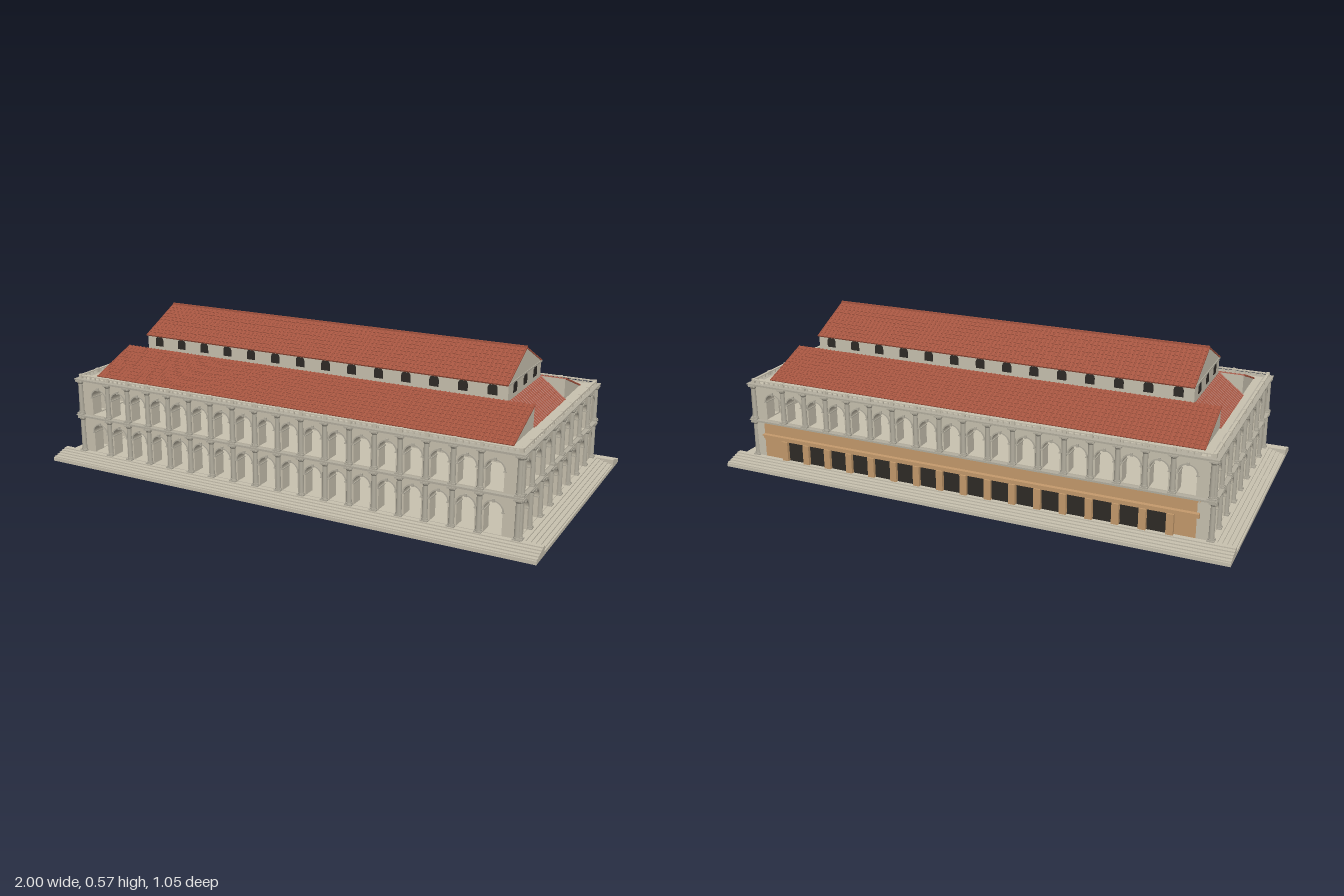
import * as THREE from 'three';
import { mergeGeometries } from 'three/addons/utils/BufferGeometryUtils.js';

const paint = (color) => new THREE.MeshStandardMaterial({ color, side: THREE.DoubleSide });
const stone = paint(0xc8c1af), trim = paint(0xb3ae9f), tile = paint(0xa65540);
const wood = paint(0xc49a6c), dark = paint(0x2e2a26);

const FLOOR = 0.035, MID = 0.182, TOP = 0.335;
const range = (n, step) => Array.from({ length: n }, (_, i) => (i - (n - 1) / 2) * step);

// Box given by its limits on each axis
function box(x0, x1, y0, y1, z0, z1) {
  return new THREE.BoxGeometry(x1 - x0, y1 - y0, z1 - z0)
    .translate((x0 + x1) / 2, (y0 + y1) / 2, (z0 + z1) / 2);
}

function part(name, geos, material) {
  const flat = geos.map((g) => (g.index ? g.toNonIndexed() : g));
  const mesh = new THREE.Mesh(mergeGeometries(flat), material);
  mesh.name = name;
  return mesh;
}

function archPath(x, y0, width, height, Type = THREE.Path) {
  const r = width / 2, p = new Type();
  p.moveTo(x - r, y0);
  p.lineTo(x + r, y0);
  p.lineTo(x + r, y0 + height - r);
  p.absarc(x, y0 + height - r, r, 0, Math.PI, false);
  p.lineTo(x - r, y0);
  return p;
}

function extrude(shape, depth) {
  return new THREE.ExtrudeGeometry(shape, { depth, bevelEnabled: false, curveSegments: 10 });
}

function polygon(points, depth) {
  return extrude(new THREE.Shape(points.map((p) => new THREE.Vector2(...p))), depth);
}

// Engaged column standing against the wall face
function column(x, y0, y1, z) {
  const shaft = new THREE.CylinderGeometry(0.009, 0.0105, y1 - y0, 10).translate(x, (y0 + y1) / 2, z);
  return [shaft,
    box(x - 0.014, x + 0.014, y0, y0 + 0.006, z - 0.014, z + 0.013),
    new THREE.CylinderGeometry(0.0125, 0.0125, 0.005, 10).translate(x, y0 + 0.0085, z),
    new THREE.CylinderGeometry(0.014, 0.009, 0.008, 10).translate(x, y1 - 0.01, z),
    box(x - 0.015, x + 0.015, y1 - 0.006, y1, z - 0.014, z + 0.013)];
}

// One side of the arcade, facing +z, with its outer face at z = face
function facade(half, face, bays, step, archWidth, shops) {
  const g = new THREE.Group();
  const centres = range(bays, step), piers = range(bays - 1, step);
  const base = shops ? MID - 0.007 : FLOOR;
  const wall = new THREE.Shape([[-half, base], [half, base], [half, TOP], [-half, TOP]]
    .map((p) => new THREE.Vector2(...p)));
  const details = [], columns = [], rails = [];
  const storeys = shops ? [[0.191, 0.105]] : [[FLOOR + 0.002, 0.115], [0.191, 0.105]];
  for (const [y0, h] of storeys) {
    const spring = y0 + h - archWidth / 2;
    for (const x of centres) {
      wall.holes.push(archPath(x, y0, archWidth, h));
      // archivolt, keystone and imposts
      const r = archWidth / 2, ring = new THREE.Shape();
      ring.absarc(x, spring, r + 0.005, 0, Math.PI, false);
      ring.absarc(x, spring, r, Math.PI, 0, true);
      details.push(extrude(ring, 0.003).translate(0, 0, face));
      details.push(box(x - 0.004, x + 0.004, y0 + h - 0.002, y0 + h + 0.01, face - 0.01, face + 0.006));
      for (const s of [-1, 1]) {
        const e = x + s * (r + 0.002);
        details.push(box(e - 0.005, e + 0.005, spring - 0.004, spring, face - 0.05, face + 0.004));
      }
    }
    const yTop = y0 < 0.1 ? MID - 0.004 : TOP - 0.008;
    for (const x of [...piers, -half + 0.004, half - 0.004]) columns.push(...column(x, y0 - 0.003, yTop, face + 0.002));
  }
  // cornices
  for (const [y, h, out] of [[MID - 0.004, 0.005, 0.012], [MID + 0.001, 0.004, 0.016], [TOP - 0.009, 0.005, 0.011], [TOP - 0.004, 0.004, 0.016]])
    details.push(box(-half - out, half + out, y, y + h, face - 0.02, face + out));
  // balustrade
  rails.push(box(-half, half, 0.345, 0.349, face - 0.008, face + 0.002));
  for (const x of [...piers, -half + 0.005, half - 0.005])
    rails.push(box(x - 0.006, x + 0.006, TOP, 0.351, face - 0.009, face + 0.003));
  for (const x of range(Math.round(half * 2 / 0.022), 0.022))
    rails.push(box(x - 0.0025, x + 0.0025, TOP, 0.346, face - 0.006, face - 0.001));
  g.add(part('arcadeWall', [extrude(wall, 0.05).translate(0, 0, face - 0.05)], stone),
    part('archTrim', details, trim), part('columns', columns, trim), part('balustrade', rails, stone));
  return g;
}

// Tiled slope falling towards +z from (yTop, zTop)
function roofSlope(name, width, yTop, zTop, run, rise) {
  const L = Math.hypot(run, rise), w = width / 2;
  const geos = [box(-w, w, 0, 0.004, 0, L)];
  const courses = Math.round(L / 0.02);
  for (let i = 1; i <= courses; i++) {
    const z = (i / courses) * L;
    geos.push(box(-w, w, 0.003, 0.0055, z - 0.005, z));
  }
  const n = Math.round(width / 0.018);
  for (const x of range(n, (width - 0.006) / (n - 1)))
    geos.push(new THREE.CylinderGeometry(0.003, 0.003, L, 6).rotateX(Math.PI / 2).translate(x, 0.004, L / 2));
  const mesh = part(name, geos, tile);
  mesh.geometry.rotateX(Math.atan2(rise, run)).translate(0, yTop, zTop);
  return mesh;
}

// Row of stairs rising from z = 0.525 inwards
function stairs(half, outer, inner) {
  const n = 5, geos = [];
  for (let i = 0; i < n; i++) {
    const y = 0.013 + i * 0.0044;
    geos.push(box(-half, half, y, y + 0.0044, inner - 0.01, outer - ((outer - inner) * (i + 0.4)) / n));
  }
  return geos;
}

export function createModel() {
  const model = new THREE.Group();
  const turned = (obj, angle, name) => {
    const g = new THREE.Group();
    g.add(obj);
    g.rotation.y = angle;
    g.name = name;
    model.add(g);
  };

  // Podium with stairs on four sides
  model.add(part('podium', [box(-1, 1, 0, 0.013, -0.525, 0.525), box(-0.93, 0.93, 0.013, FLOOR, -0.455, 0.455)], stone));
  for (const k of [0, 1]) {
    turned(part('longStairs', stairs(1, 0.525, 0.45), stone), k * Math.PI, 'longStairs');
    turned(part('endStairs', stairs(0.45, 1, 0.925), stone), (k + 0.5) * Math.PI, 'endStairs');
  }

  // Arcades
  turned(facade(0.91, 0.44, 18, 0.0965, 0.064, false), 0, 'frontArcade');
  turned(facade(0.91, 0.44, 18, 0.0965, 0.064, true), Math.PI, 'backArcade');
  for (const s of [-1, 1]) turned(facade(0.44, 0.91, 8, 0.1115, 0.073, false), s * Math.PI / 2, 'endArcade');

  // Shops under the back arcade
  const frames = [box(-0.87, 0.87, FLOOR, 0.176, -0.44, -0.39), box(-0.87, 0.87, 0.112, 0.126, -0.448, -0.44)];
  for (const x of range(17, 0.0965)) frames.push(box(x - 0.013, x + 0.013, FLOOR, 0.113, -0.454, -0.44));
  const doors = range(16, 0.0965).map((x) => box(x - 0.034, x + 0.034, FLOOR, 0.112, -0.4425, -0.436));
  model.add(part('shopFronts', frames, wood), part('shopDoors', doors, dark),
    part('shopLedge', [box(-0.87, 0.87, 0.126, 0.131, -0.456, -0.44)], wood));
  for (const s of [-1, 1])
    model.add(part('cornerPier', [box(s * 0.89 - 0.02, s * 0.89 + 0.02, FLOOR, MID, -0.44, -0.39)], stone));

  // Gallery floor between hall and arcades
  const floors = [];
  for (const s of [-1, 1]) {
    floors.push(box(-0.87, 0.87, MID - 0.004, MID + 0.004, s * 0.29 - 0.11, s * 0.29 + 0.11));
    floors.push(box(s * 0.82 - 0.055, s * 0.82 + 0.055, MID - 0.004, MID + 0.004, -0.18, 0.18));
  }
  model.add(part('galleryFloor', floors, stone));

  // Central hall with gables
  const gable = polygon([[-0.18, FLOOR], [0.18, FLOOR], [0.18, 0.472], [0, 0.56], [-0.18, 0.472]], 1.53)
    .translate(0, 0, -0.765).rotateY(Math.PI / 2);
  model.add(part('hall', [gable], stone));
  model.add(part('hallCornice', [box(-0.768, 0.768, 0.468, 0.474, -0.185, 0.185)], trim));
  model.add(part('ridge', [box(-0.767, 0.767, 0.562, 0.569, -0.004, 0.004)], tile));

  // Clerestory windows
  const panes = [];
  const pane = (x, z) => extrude(archPath(x, 0.43, 0.036, 0.041, THREE.Shape), 0.003).translate(0, 0, z);
  for (const k of [0, 1]) {
    for (const x of range(14, 0.109)) panes.push(pane(x, 0.179).rotateY(k * Math.PI));
    for (const x of range(3, 0.11)) panes.push(pane(x, 0.764).rotateY((k + 0.5) * Math.PI));
  }
  model.add(part('clerestoryWindows', panes, dark));

  // Roofs
  for (const k of [0, 1]) {
    const a = k * Math.PI;
    turned(roofSlope('hallRoof', 1.534, 0.56, 0, 0.187, 0.091), a, 'hallRoof');
    turned(roofSlope('aisleRoof', 1.726, 0.413, 0.18, 0.21, 0.08), a, 'aisleRoof');
    turned(roofSlope('endRoof', 0.36, 0.411, 0.765, 0.098, 0.078), a + Math.PI / 2, 'endRoof');
    const aisleGable = polygon([[-0.39, 0.327], [-0.18, 0.327], [-0.18, 0.414], [-0.39, 0.333]], 1.72)
      .translate(0, 0, -0.86).rotateY(Math.PI / 2);
    turned(part('aisleGable', [aisleGable], stone), a, 'aisleGable');
    const endWedge = polygon([[0.765, 0.327], [0.86, 0.327], [0.86, 0.333], [0.765, 0.41]], 0.36).translate(0, 0, -0.18);
    turned(part('endAttic', [endWedge], stone), a, 'endAttic');
  }
  return model;
}
